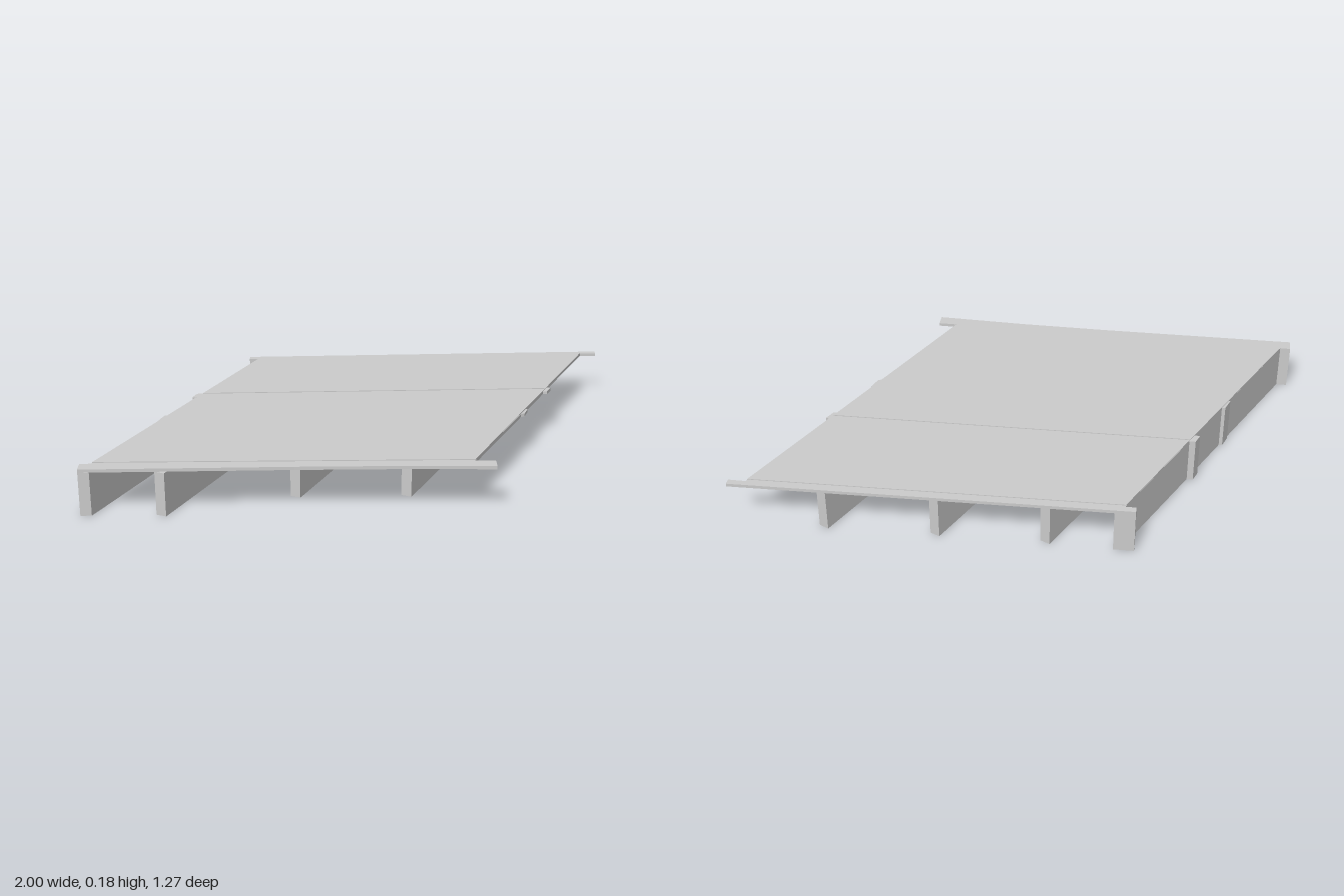
import * as THREE from 'three';

// Vertical prism from a plan outline of [x, z] points
function prism(name, outline, y0, y1, material) {
  const shape = new THREE.Shape(outline.map(([x, z]) => new THREE.Vector2(x, -z)));
  const geo = new THREE.ExtrudeGeometry(shape, { depth: y1 - y0, bevelEnabled: false });
  geo.rotateX(-Math.PI / 2).translate(0, y0, 0);
  const mesh = new THREE.Mesh(geo, material);
  mesh.name = name;
  return mesh;
}

export function createModel() {
  const group = new THREE.Group();
  group.name = 'skewDeck';
  const mat = new THREE.MeshStandardMaterial({ color: 0xcccccc, flatShading: true });
  const BEAM_TOP = 0.163, DECK_TOP = 0.175, PANEL_TOP = 0.178;
  const SKEW = 0.472;

  // Left edge, back to front, with end tabs and two small bumps
  const leftEdge = [
    [-0.465, -0.592], [-0.465, -0.567], [-0.425, -0.567],
    [-0.627, -0.14], [-0.65, -0.14], [-0.665, -0.10], [-0.645, -0.10],
    [-0.739, 0.10], [-0.752, 0.10], [-0.77, 0.15], [-0.763, 0.15],
    [-0.96, 0.568], [-1, 0.568], [-1, 0.62],
  ];
  // Right edge, front to back
  const rightEdge = [
    [0.455, 0.618], [0.455, 0.568], [0.38, 0.568],
    [0.598, 0.11], [0.612, 0.105], [0.628, 0.06], [0.622, 0.055],
    [0.714, -0.14], [0.73, -0.14], [0.75, -0.18], [0.732, -0.185],
    [0.935, -0.61], [1, -0.61], [1, -0.635],
  ];

  // Deck slab
  group.add(prism('deckSlab', [...leftEdge, [-0.25, 0.61], [0.1, 0.61], ...rightEdge],
    BEAM_TOP, DECK_TOP, mat));

  // Raised deck panels, split by a narrow seam
  const leftX = z => -0.96 + SKEW * (0.568 - z);
  const rightX = z => 0.38 + SKEW * (0.568 - z);
  const panel = (name, zl0, zr0, zl1, zr1) => group.add(prism(name, [
    [leftX(zl0), zl0], [leftX(zl1), zl1], [rightX(zr1), zr1], [rightX(zr0), zr0],
  ], DECK_TOP, PANEL_TOP, mat));
  panel('rearPanel', -0.56, -0.60, -0.14, -0.17);
  panel('frontPanel', -0.132, -0.162, 0.56, 0.56);

  // Thin edge wall following the left side down to the ground
  group.add(prism('edgeWall', [...leftEdge, [-0.96, 0.62], [-0.39, -0.594]],
    0, BEAM_TOP, mat));

  // Skewed joists with square-cut ends: front right corner and rear z
  const len = Math.hypot(1, SKEW), width = 0.039;
  const dx = width / len, dz = width * SKEW / len;
  for (const [x, z, rear] of [[-0.70, 0.632, -0.58], [-0.235, 0.48, -0.592], [0.165, 0.48, -0.605]]) {
    const xr = x + SKEW * (z - rear);
    group.add(prism('joist', [
      [x, z], [xr, rear], [xr - dx, rear - dz], [x - dx, z - dz],
    ], 0, BEAM_TOP, mat));
  }
  return group;
}
